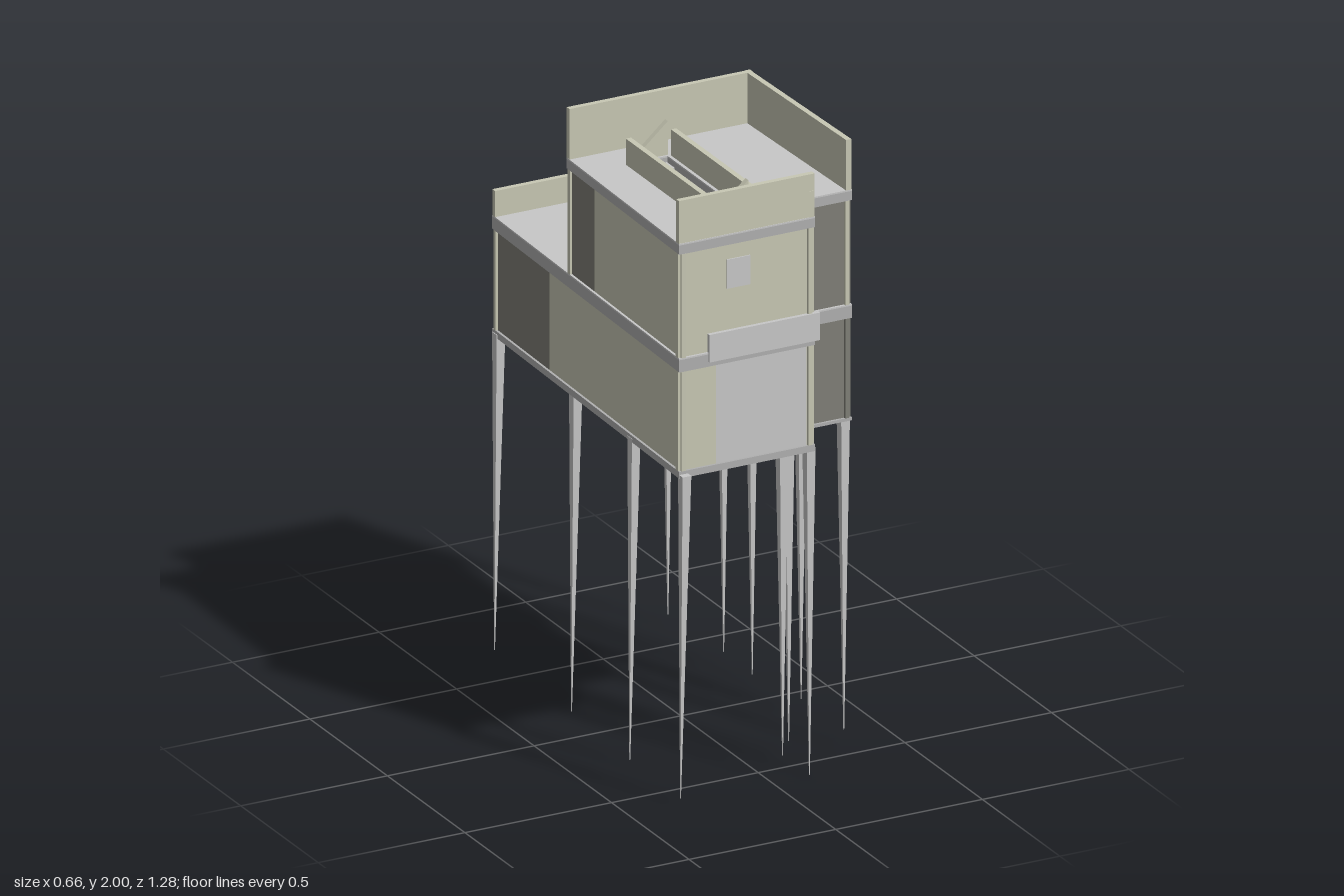
import * as THREE from 'three';

const mat = (name, color) => new THREE.MeshStandardMaterial({ name, color });

export function createModel() {
  const group = new THREE.Group();
  const cream = mat('cream wall', 0xc8c8b4);
  const light = mat('light grey', 0xc8c8c8);
  const medium = mat('medium grey', 0xb0b0b0);
  const dark = mat('dark glazing', 0x807f77);

  const add = (name, geo, material) => {
    const mesh = new THREE.Mesh(geo, material);
    mesh.name = name;
    group.add(mesh);
    return mesh;
  };
  const box = (name, x0, x1, y0, y1, z0, z1, material) =>
    add(name, new THREE.BoxGeometry(x1 - x0, y1 - y0, z1 - z0)
      .translate((x0 + x1) / 2, (y0 + y1) / 2, (z0 + z1) / 2), material);

  // Upright prism over a plan outline of [x, z] points
  const prism = (name, plan, y0, y1, material, hole) => {
    const toVec = (pts) => pts.map(([x, z]) => new THREE.Vector2(x, -z));
    const shape = new THREE.Shape(toVec(plan));
    if (hole) shape.holes.push(new THREE.Path(toVec(hole)));
    const geo = new THREE.ExtrudeGeometry(shape, { depth: y1 - y0, bevelEnabled: false });
    return add(name, geo.rotateX(-Math.PI / 2).translate(0, y0, 0), material);
  };

  // Wall from p to q, set in from the outline and thickened inwards
  const wall = (name, p, q, y0, y1, material, inset = 0.008, thick = 0.015) => {
    const dx = q[0] - p[0], dz = q[1] - p[1], len = Math.hypot(dx, dz);
    const n = [dz / len, -dx / len];
    const off = (a, d) => [a[0] + n[0] * d, a[1] + n[1] * d];
    const o = inset + thick;
    prism(name, [off(p, inset), off(q, inset), off(q, o), off(p, o)], y0, y1, material);
  };

  // Tapering plan: both long sides draw in towards the back
  const xMin = (z) => -0.33 + (0.615 - z) * 0.02;
  const xMax = (z) => 0.33 - (0.48 - z) * 0.031;
  const F = 0.615, N = 0.48, NX = 0.133, B = -0.64, U = -0.142;
  const R = (z) => [xMax(z), z], L = (z) => [xMin(z), z];
  const outline = (back) => [L(F), [NX, F], [NX, N], R(N), R(back), L(back)];

  // Slabs and floors
  const hole = [[-0.16, -0.01], [-0.04, -0.01], [-0.04, 0.475], [-0.16, 0.475]];
  prism('baseSlabMain', [L(F), [NX, F], [NX, B], L(B)], 1.068, 1.09, medium);
  prism('baseSlabSide', [[NX, N], R(N), R(B), [NX, B]], 1.08, 1.09, medium);
  prism('middleSlab', outline(B), 1.415, 1.455, medium);
  prism('lowerDeck', outline(B), 1.455, 1.46, light);
  prism('roofSlab', outline(U), 1.8, 1.83, medium, hole);
  prism('roofDeck', outline(U), 1.83, 1.835, light, hole);

  // Lower storey, panel by panel round the outline
  const lower = [
    ['frontWall', L(F), [-0.2, F], cream],
    ['frontPanel', [-0.2, F], [0.108, F], light],
    ['frontCornerWall', [0.108, F], [NX, F], cream],
    ['notchWall', [NX, F], [NX, N], cream],
    ['notchGlazing', [NX, N], R(N), dark],
    ['sideGlazing', R(N), R(0.13), dark],
    ['sidePanel', R(0.13), R(-0.26), medium],
    ['sideWall', R(-0.26), R(B), cream],
    ['backPanel', R(B), [0.13, B], medium],
    ['backWall', [0.13, B], L(B), cream],
    ['farSideGlazing', L(B), L(-0.27), dark],
    ['farSideWall', L(-0.27), L(F), cream],
  ];
  lower.forEach(([n, p, q, m]) => wall('lower ' + n, p, q, 1.09, 1.415, m));

  // Upper storey
  const upper = [
    ['frontWall', L(F), [NX, F], cream],
    ['notchWall', [NX, F], [NX, N], cream],
    ['notchGlazing', [NX, N], R(N), dark],
    ['sideWall', R(N), R(U), cream],
    ['backWall', R(U), L(U), cream],
    ['farSideGlazing', L(U), L(0.03), dark],
    ['farSideWall', L(0.03), L(F), cream],
  ];
  upper.forEach(([n, p, q, m]) => wall('upper ' + n, p, q, 1.46, 1.8, m));

  // Windows and the balcony panel
  box('frontWindow', -0.165, -0.085, 1.655, 1.75, 0.606, 0.611, light);
  box('backWindow', -0.28, -0.125, 1.6, 1.755, -0.138, -0.133, light);
  box('balconyPanel', -0.23, 0.148, 1.43, 1.52, 0.607, 0.62, light);

  // Parapets; the far long side stays open
  const para = (n, p, q, y0, y1) => wall(n, p, q, y0, y1, cream, 0.002, 0.018);
  para('lowerSideParapet', R(U), R(B), 1.46, 1.545);
  para('lowerBackParapet', R(B), L(B), 1.46, 1.545);
  para('roofSideParapet', R(N), R(U), 1.835, 2);
  para('roofBackParapet', R(U), L(U), 1.835, 2);
  para('roofFrontParapet', L(F), [NX, F], 1.835, 1.975);
  para('notchParapet', [NX, F], [NX, N], 1.835, 1.92);

  // Stairwell upstands
  for (const x of [-0.183, -0.029])
    box('stairUpstand', x, x + 0.018, 1.835, 1.92, 0.012 - 0.02, 0.48, cream);
  // Triangular end pieces of the stairwell
  for (const z of [-0.035, 0.484]) {
    const tri = new THREE.Shape([[-0.16, 1.835], [-0.035, 1.835], [-0.035, 1.945]]
      .map(([x, y]) => new THREE.Vector2(x, y)));
    add('stairEnd', new THREE.ExtrudeGeometry(tri, { depth: 0.018, bevelEnabled: false })
      .translate(0, 0, z), cream);
  }

  // Stair, from the landing down towards the front
  box('stairLanding', -0.158, -0.042, 1.79, 1.815, -0.01, 0.04, light);
  const steps = 12, run = 0.036;
  for (let i = 0; i < steps; i++) {
    const y = 1.785 - i * 0.027, z = 0.04 + i * run;
    box('stairTread', -0.158, -0.042, y - 0.03, y, z, z + run, dark);
  }

  // Stilts: needle-shaped, tapering to a tip; [x, z, tip height]
  const stilts = [
    [-0.315, 0.622, 0.02], [0.03, 0.597, 0.08], [0.12, 0.6, 0], [0.122, 0.462, 0.06],
    [0.31, 0.462, 0.06], [0.308, 0.19, 0.06], [0.304, 0.12, 0.05], [0.3, -0.11, 0.03],
    [0.295, -0.285, 0.04], [0.282, -0.62, 0.04],
    [-0.31, 0.285, 0.02], [-0.3, -0.11, 0.03], [-0.293, -0.62, 0.04],
  ];
  for (const [x, z, tip] of stilts) {
    const h = 1.08 - tip;
    const geo = new THREE.CylinderGeometry(0.021, 0.0015, h, 4).rotateY(Math.PI / 4);
    const pos = geo.attributes.position;
    // Lean the tip outwards so the outer edges hang plumb
    for (let i = 0; i < pos.count; i++) {
      if (pos.getY(i) < 0) pos.setX(i, pos.getX(i) + Math.sign(x) * 0.008);
      if (pos.getY(i) < 0) pos.setZ(i, pos.getZ(i) - 0.012);
    }
    const flat = geo.toNonIndexed();
    flat.computeVertexNormals();
    add('stilt', flat.translate(x, tip + h / 2, z), light);
  }
  return group;
}
